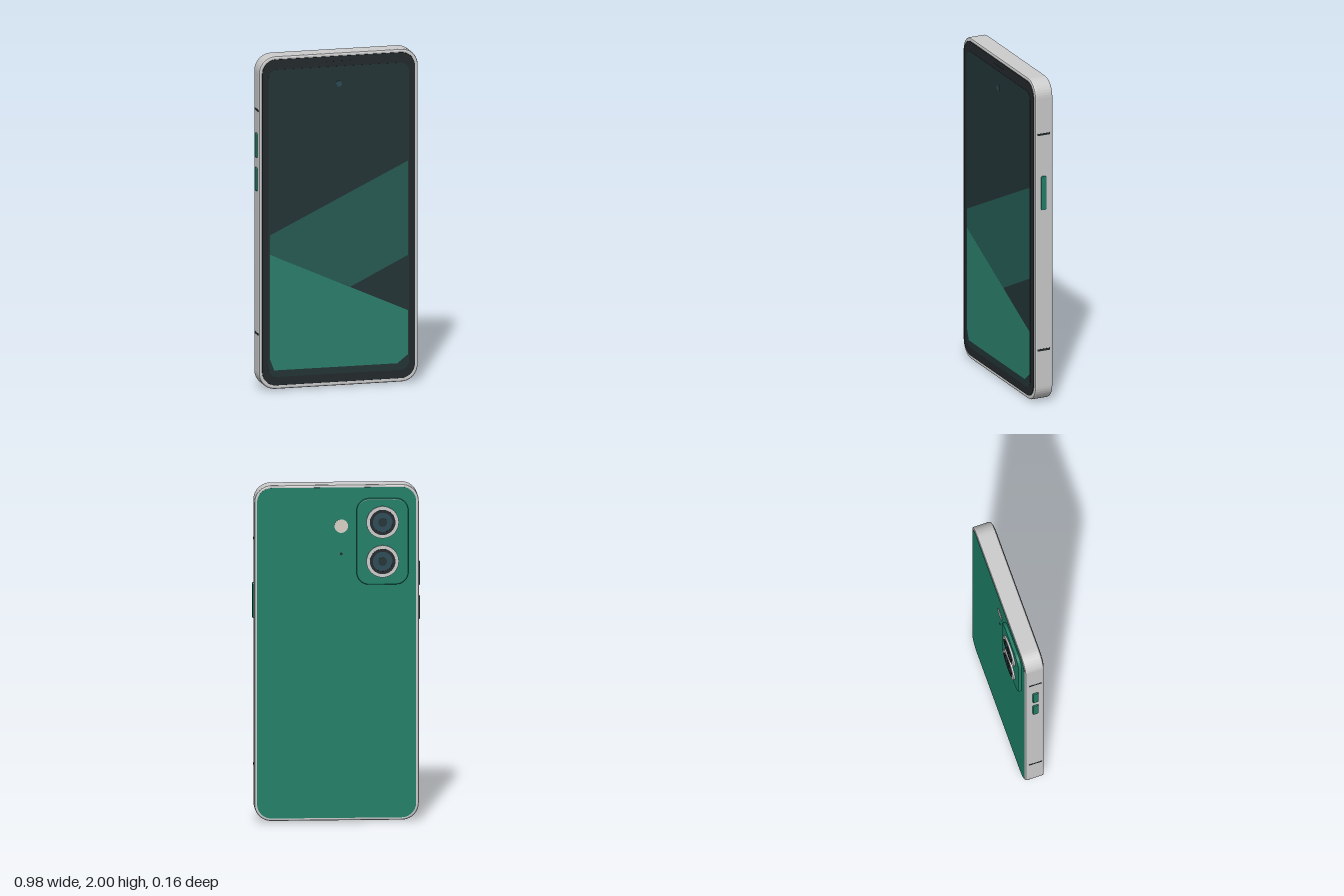
import * as THREE from 'three';

const mat = (color) => new THREE.MeshStandardMaterial({ color });
const M = {
  frame: mat(0xcccccc), green: mat(0x1f8068), black: mat(0x22282a), dark: mat(0x223336),
  mid: mat(0x245a52), light: mat(0x2a7d6b), lens: mat(0x2b4a55), flash: mat(0xd8d0c4),
};

// rounded rectangle centred on cx, cy
function roundRect(cx, cy, w, h, r) {
  const s = new THREE.Shape(), x = w / 2 - r, y = h / 2 - r;
  s.absarc(cx + x, cy + y, r, 0, Math.PI / 2);
  s.absarc(cx - x, cy + y, r, Math.PI / 2, Math.PI);
  s.absarc(cx - x, cy - y, r, Math.PI, Math.PI * 1.5);
  s.absarc(cx + x, cy - y, r, Math.PI * 1.5, Math.PI * 2);
  s.closePath();
  return s;
}

// slab between z0 and z1 with chamfered rims
function slab(shape, z0, z1, bevel = 0, curveSegments = 5) {
  const g = new THREE.ExtrudeGeometry(shape, {
    depth: z1 - z0 - 2 * bevel, curveSegments, bevelEnabled: bevel > 0,
    bevelThickness: bevel, bevelSize: bevel, bevelOffset: -bevel, bevelSegments: 2,
  });
  return g.translate(0, 0, z0 + bevel);
}

export function createModel() {
  const phone = new THREE.Group();
  phone.name = 'smartphone';
  const add = (name, geometry, material, parent = phone) => {
    const m = new THREE.Mesh(geometry, material);
    m.name = name;
    parent.add(m);
    return m;
  };
  // disc facing along z
  const disc = (r, z0, z1, n = 32) =>
    new THREE.CylinderGeometry(r, r, z1 - z0, n).rotateX(Math.PI / 2).translate(0, 0, (z0 + z1) / 2);
  const polygon = (pts) => new THREE.ShapeGeometry(new THREE.Shape(pts.map((p) => new THREE.Vector2(...p))));

  // body
  add('frame', slab(roundRect(0, 1.003, 0.964, 1.994, 0.1), -0.045, 0.07, 0.01), M.frame);
  add('backPanel', slab(roundRect(0, 1.003, 0.932, 1.962, 0.085), -0.047, -0.04), M.green);

  // front glass and screen
  add('frontGlass', slab(roundRect(0, 1.005, 0.926, 1.952, 0.085), 0.06, 0.074, 0.002), M.black);
  add('screen', slab(roundRect(0, 1.0, 0.85, 1.84, 0.05), 0.07, 0.0755), M.dark);
  add('wallpaperUpperBand', polygon([
    [-0.418, 0.815], [0.07, 0.595], [0.418, 0.765], [0.418, 1.33], [-0.418, 0.93],
  ]), M.mid).position.z = 0.0765;
  add('wallpaperLowerBand', polygon([
    [-0.418, 0.19], [-0.392, 0.12], [0.355, 0.12], [0.418, 0.17], [0.418, 0.435], [-0.418, 0.815],
  ]), M.light).position.z = 0.0765;
  add('frontCamera', disc(0.018, 0.07, 0.078, 20), M.lens).position.set(0, 1.815, 0);
  add('earpiece', slab(roundRect(0, 1.945, 0.15, 0.012, 0.005), 0.07, 0.0755), M.black);

  // rear camera island
  add('cameraPlate', slab(roundRect(-0.268, 1.664, 0.305, 0.512, 0.075), -0.068, -0.042, 0.008), M.green);
  for (const y of [1.78, 1.548]) {
    const lens = new THREE.Group();
    lens.name = 'rearLens';
    lens.position.set(-0.268, y, 0);
    phone.add(lens);
    const ring = new THREE.Shape().absarc(0, 0, 0.095, 0, Math.PI * 2);
    ring.holes.push(new THREE.Path().absarc(0, 0, 0.074, 0, Math.PI * 2, true));
    add('lensRing', slab(ring, -0.079, -0.06, 0, 16), M.frame, lens);
    const inner = new THREE.Shape().absarc(0, 0, 0.075, 0, Math.PI * 2);
    inner.holes.push(new THREE.Path().absarc(0, 0, 0.058, 0, Math.PI * 2, true));
    add('lensBarrel', slab(inner, -0.081, -0.06, 0, 16), M.black, lens);
    add('lensGlass', disc(0.059, -0.078, -0.06), M.lens, lens);
    add('lensPupil', disc(0.026, -0.079, -0.07, 24), M.dark, lens);
  }
  add('flash', disc(0.04, -0.0495, -0.04, 28), M.flash).position.set(-0.027, 1.755, 0);
  add('rearMicrophone', disc(0.008, -0.0485, -0.04, 12), M.black).position.set(-0.027, 1.59, 0);

  // side buttons: [side, bottom, top]
  for (const [side, y0, y1] of [[1, 1.205, 1.415], [-1, 1.39, 1.535], [-1, 1.19, 1.33]]) {
    const g = slab(roundRect(0, 0, 0.034, y1 - y0, 0.008), -0.015, 0.015, 0.005, 3).rotateY(Math.PI / 2);
    add(side > 0 ? 'powerButton' : 'volumeButton', g, M.green)
      .position.set(side * 0.476, (y0 + y1) / 2, 0.0165);
  }

  // antenna breaks in the frame
  for (const side of [-1, 1]) for (const y of [1.675, 0.335]) {
    add('antennaLine', new THREE.BoxGeometry(0.01, 0.012, 0.08), M.black)
      .position.set(side * 0.4785, y, 0.016);
  }

  // bottom openings
  const port = slab(roundRect(0, 0, 0.12, 0.042, 0.02), -0.005, 0.005).rotateX(Math.PI / 2);
  add('chargingPort', port, M.black).position.set(0, 0.0095, 0.0125);
  add('portTongue', new THREE.BoxGeometry(0.07, 0.008, 0.012), M.dark).position.set(0, 0.004, 0.0125);
  const hole = new THREE.CylinderGeometry(0.008, 0.008, 0.008, 12);
  for (let i = 0; i < 5; i++) add('speakerHole', hole, M.black).position.set(0.19 + i * 0.035, 0.009, 0.0125);
  add('microphoneHole', hole, M.black).position.set(-0.21, 0.009, 0.0125);

  return phone;
}
